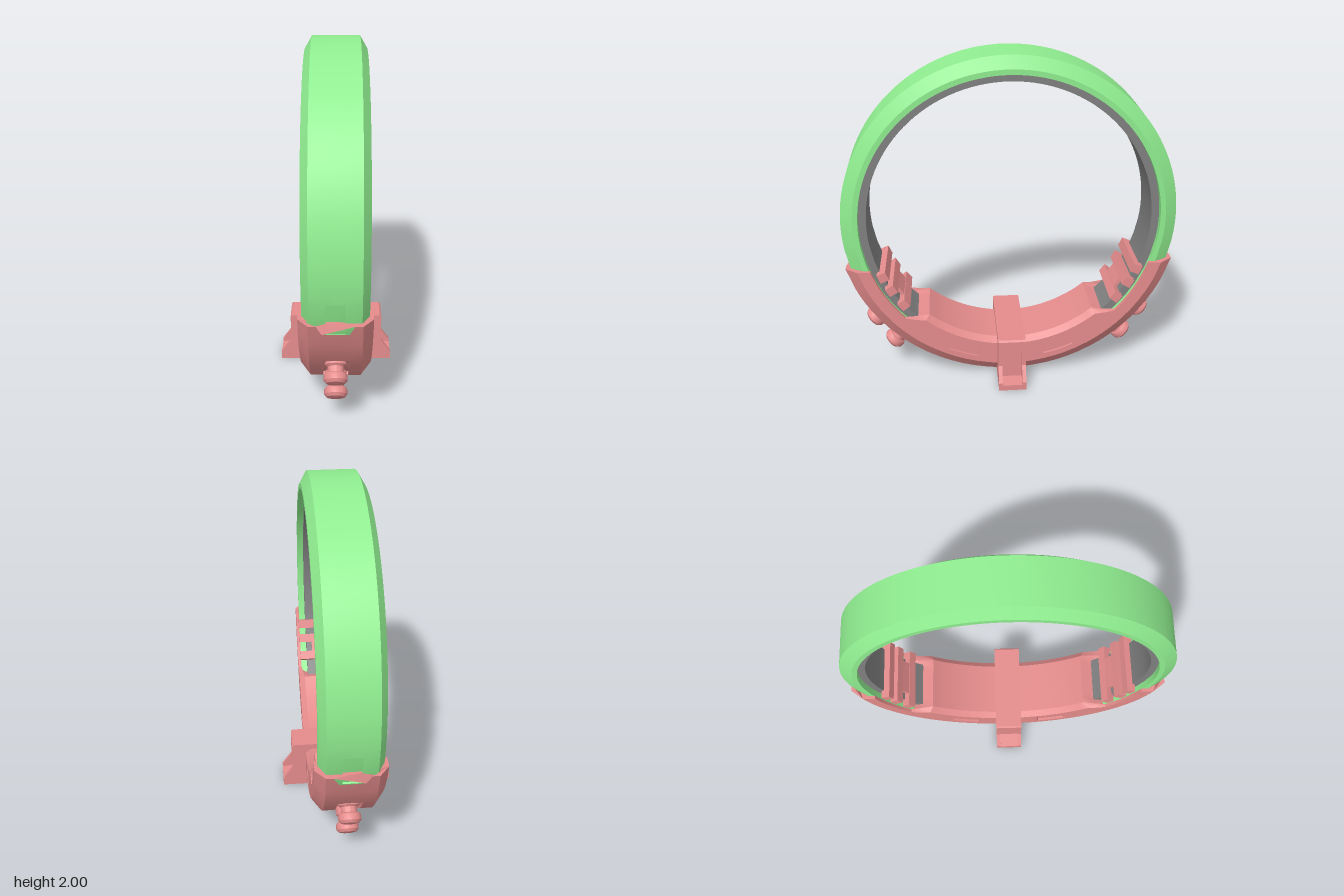
import * as THREE from 'three';
import { toCreasedNormals } from 'three/addons/utils/BufferGeometryUtils.js';

const CY = 1.03; // height of the ring's axis
const rad = THREE.MathUtils.degToRad;
const pink = new THREE.MeshStandardMaterial({ color: 0xe58c8c });
const green = new THREE.MeshStandardMaterial({ color: 0x90ee90 });
const grey = new THREE.MeshStandardMaterial({ color: 0x808080 });

function mesh(name, geometry, material) {
  const m = new THREE.Mesh(geometry, material);
  m.name = name;
  return m;
}

// Point at width x, radius r, angle t measured from the bottom towards the front
const polar = (x, r, t) => [x, CY - r * Math.cos(t), r * Math.sin(t)];

// Complete a half cross-section [x, r] into a closed symmetric one
const mirrored = (half) => [...half, ...half.slice(1, -1).reverse().map(([x, r]) => [-x, r])];

// Sweep cross-sections { pts, angle(x, r) } round the axis and cap both ends
function sweep(sections) {
  const n = sections[0].pts.length;
  const pos = [], index = [];
  for (const s of sections) {
    for (const [x, r] of s.pts) pos.push(...polar(x, r, s.angle(x, r)));
  }
  for (let s = 0; s < sections.length - 1; s++) {
    for (let j = 0; j < n; j++) {
      const a = s * n + j, b = s * n + (j + 1) % n;
      index.push(a, b, b + n, a, b + n, a + n);
    }
  }
  for (const end of [0, sections.length - 1]) {
    const p = sections[end].pts.map(([x, r]) => new THREE.Vector2(x, r));
    for (const [a, b, c] of THREE.ShapeUtils.triangulateShape(p, [])) {
      const ccw = THREE.ShapeUtils.area([p[a], p[b], p[c]]) > 0;
      const k = end * n;
      if (ccw === (end === 0)) index.push(k + a, k + b, k + c);
      else index.push(k + a, k + c, k + b);
    }
  }
  const g = new THREE.BufferGeometry();
  g.setAttribute('position', new THREE.Float32BufferAttribute(pos, 3));
  g.setIndex(index);
  return toCreasedNormals(g.toNonIndexed(), rad(28));
}

// Band of the ring, with an optional inset panel near each lower end
function band(halfAt, steps) {
  return sweep(steps.map(([deg, inset]) => ({ pts: mirrored(halfAt(inset)), angle: () => rad(deg) })));
}

function ringSteps() {
  const steps = [[38, 0], [60, 0], [68, 0], [68, 1], [74, 1], [81, 1], [81, 0]];
  for (let d = 84; d <= 276; d += 3) steps.push([d, 0]);
  const head = steps.slice(0, 7).reverse().map(([d, i]) => [360 - d, i]);
  // finer steps along the plain stretch
  const fill = [42, 46, 50, 54].map((d) => [d, 0]);
  steps.splice(1, 0, ...fill);
  return [...steps, ...head.slice(0, 6), ...fill.reverse().map(([d]) => [360 - d, 0]), head[6]];
}

// Cradle cross-section: solid at the bottom, an open channel towards the ends
function cradleHalf(deg, mode) {
  const f = THREE.MathUtils.clamp((Math.abs(deg) - 40) / 7, 0, 1);
  const mix = (a, b) => a + (b - a) * f;
  const R = mode === 2 ? 0.98 : 1;
  const w = mode === 1 ? 0.18 : 0.195;
  const floor = mix(0.76, 0.95);
  return [
    [0, R], [0.07, R], [0.07, 1], [0.1, 1], [0.14, 1], [0.195, 0.93],
    [0.195, 0.895], [w, 0.895], [w, mix(0.825, 0.865)], [0.195, mix(0.825, 0.865)],
    [0.195, mix(0.79, 0.86)], [mix(0.16, 0.175), mix(0.76, 0.86)],
    [mix(0.155, 0.175), mix(0.76, 0.9)], [mix(0.12, 0.135), floor],
    [0.1, floor], [0.07, floor], [0, floor],
  ];
}

function cradleGeometry() {
  // [angle, mode]: 1 = side window, 2 = knob recess, 3 = level end with a notch
  const half = [
    [0, 0], [4, 0], [8, 0], [13, 0], [13, 1], [17, 1], [21, 1], [25, 1], [25, 0], [30, 0], [34, 0],
    [34, 2], [37, 2], [40, 2], [43.5, 2], [47, 2], [51, 2], [56, 2], [56, 0], [60, 0], [63, 0], [66, 0], [70, 3],
  ];
  const steps = [...half.slice(1).reverse().map(([d, m]) => [-d, m]), ...half];
  return sweep(steps.map(([deg, mode]) => ({
    pts: mirrored(cradleHalf(deg, mode)),
    angle: (x, r) => mode === 3
      ? Math.sign(deg) * Math.acos((CY - (Math.abs(x) < 0.08 ? 0.7 : 0.76)) / r)
      : rad(deg),
  })));
}

// Slice of the stand, extruded along z between two depths
function standSlice(half, z0, z1) {
  const pts = [...half, ...half.slice().reverse().map(([x, y]) => [-x, y])];
  const shape = new THREE.Shape(pts.map(([x, y]) => new THREE.Vector2(x, y)));
  return new THREE.ExtrudeGeometry(shape, { depth: z1 - z0, bevelEnabled: false }).translate(0, 0, z0);
}

function stand() {
  const g = new THREE.Group();
  g.name = 'stand';
  const full = [[0.34, 0], [0.34, 0.05], [0.28, 0.135], [0.28, 0.3], [0.27, 0.31]];
  const hollow = [[0.34, 0], [0.34, 0.035], [0.255, 0.045], [0.255, 0.225], [0.28, 0.225], [0.28, 0.3], [0.27, 0.31]];
  g.add(mesh('standCore', standSlice(hollow, -0.06, 0.06), pink));
  g.add(mesh('standFrontCheek', standSlice(full, 0.06, 0.083), pink));
  g.add(mesh('standBackCheek', standSlice(full, -0.083, -0.06), pink));
  return g;
}

// Knob with its outer end at the local origin, pointing along +y
function knobGeometry() {
  const profile = [
    [0.045, -0.2], [0.06, -0.14], [0.06, -0.1], [0.045, -0.09], [0.045, -0.06],
    [0.058, -0.055], [0.064, -0.045], [0.064, -0.018], [0.05, -0.002], [0.025, 0.003], [0, 0.004],
  ].map(([x, y]) => new THREE.Vector2(x, y));
  return toCreasedNormals(new THREE.LatheGeometry(profile, 28), rad(35));
}

// Place a box on the ring at an angle and radius
function barOnRing(name, deg, r, width, height, length) {
  const m = mesh(name, new THREE.BoxGeometry(width, height, length), pink);
  m.position.set(...polar(0, r, rad(deg)));
  m.rotation.x = -rad(deg);
  return m;
}

export function createModel() {
  const model = new THREE.Group();
  model.name = 'ringOnCradle';

  // Ring and its inner liner
  const shell = (inset) => [
    [0, inset ? 0.958 : 0.97], [0.05, inset ? 0.958 : 0.97], [0.05, 0.97], [0.135, 0.97],
    [0.175, 0.9], [0.175, 0.87], [0, 0.87],
  ];
  const liner = () => [[0, 0.88], [0.135, 0.88], [0.135, 0.825], [0, 0.825]];
  model.add(mesh('ring', band(shell, ringSteps()), green));
  model.add(mesh('liner', band(liner, ringSteps()), grey));

  // Cradle and the stand round its middle
  model.add(mesh('cradle', cradleGeometry(), pink));
  model.add(stand());

  // Clips and knobs at front and back
  const knob = knobGeometry();
  for (const s of [1, -1]) {
    const clip = new THREE.Group();
    clip.name = s > 0 ? 'frontClip' : 'backClip';
    for (const deg of [67, 60, 51.5]) clip.add(barOnRing('clipBar', s * deg, 0.812, 0.36, 0.055, 0.055));
    clip.add(barOnRing('clipPlate', s * 56, 0.798, 0.2, 0.02, 0.13));
    model.add(clip);

    for (const [y, z] of [[0.335, 0.84], [0.172, 0.735]]) {
      const k = mesh('knob', knob, pink);
      k.position.set(0, y, s * z);
      k.rotation.x = Math.PI - s * rad(47);
      model.add(k);
    }
  }
  return model;
}
